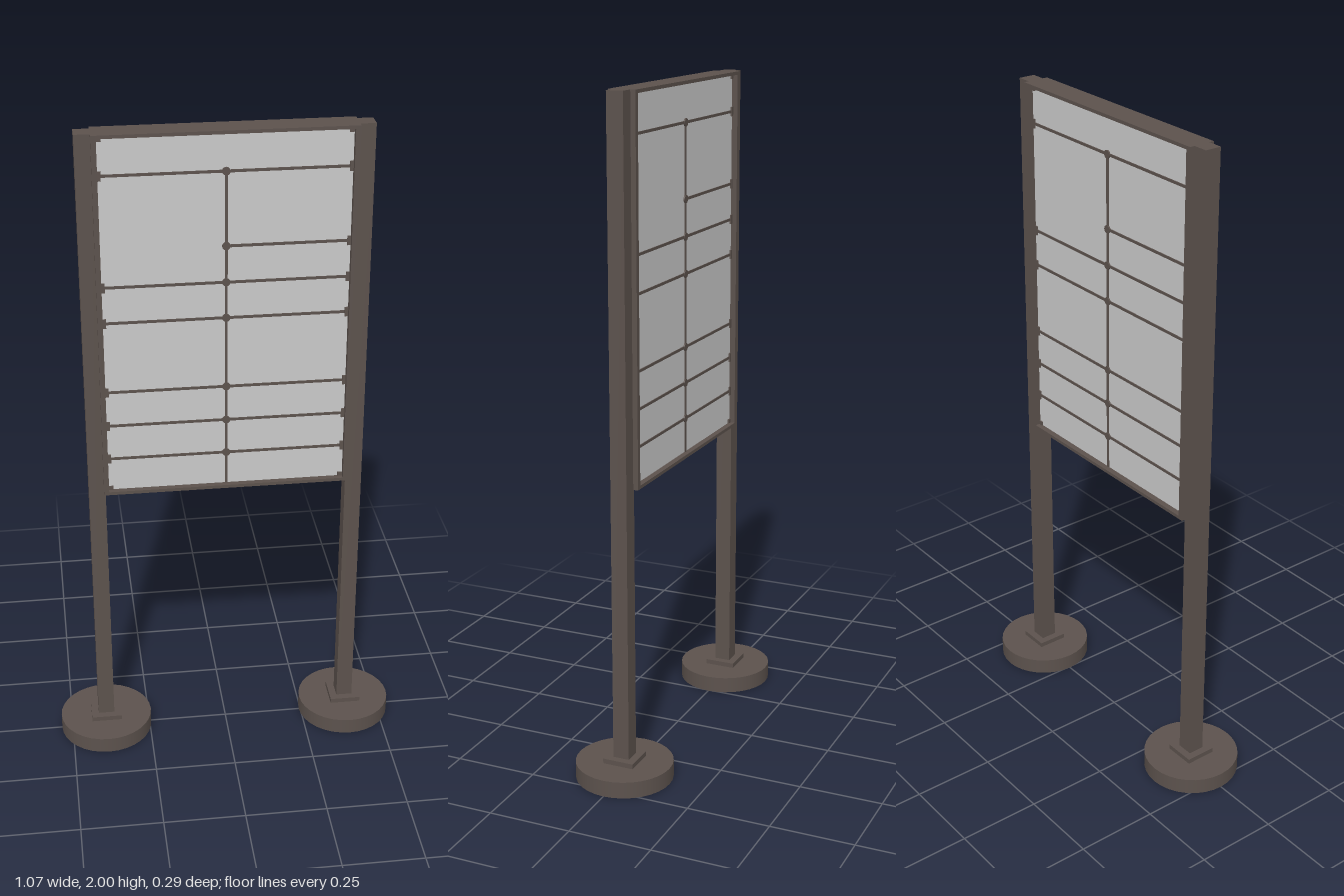
import * as THREE from 'three';

const bronze = new THREE.MeshStandardMaterial({ color: 0x5c524d });
bronze.name = 'dark bronze metal';
const grey = new THREE.MeshStandardMaterial({ color: 0xcacaca });
grey.name = 'light grey panel';

function add(parent, name, geometry, material, x = 0, y = 0, z = 0) {
  const mesh = new THREE.Mesh(geometry, material);
  mesh.name = name;
  mesh.position.set(x, y, z);
  parent.add(mesh);
  return mesh;
}

const box = (w, h, d) => new THREE.BoxGeometry(w, h, d);

// Round foot with a square socket open underneath, flange and post
function createLeg(side) {
  const leg = new THREE.Group();
  leg.name = side > 0 ? 'leftLeg' : 'rightLeg';
  leg.position.x = side * 0.39;

  const R = 0.145, S = 0.045;
  const ring = new THREE.Shape();
  ring.absarc(0, 0, R - 0.001, 0, Math.PI * 2);
  const socket = new THREE.Path();
  socket.moveTo(-S, -S);
  socket.lineTo(-S, S);
  socket.lineTo(S, S);
  socket.lineTo(S, -S);
  socket.closePath();
  ring.holes.push(socket);
  const core = new THREE.ExtrudeGeometry(ring, { depth: 0.046, bevelEnabled: false, curveSegments: 32 });
  core.rotateX(-Math.PI / 2);
  add(leg, 'footCore', core, grey);
  add(leg, 'footRim', new THREE.CylinderGeometry(R, R, 0.05, 32, 1, true), bronze, 0, 0.025);
  add(leg, 'footTop', new THREE.CylinderGeometry(R, R, 0.004, 32), bronze, 0, 0.048);
  add(leg, 'socketCeiling', box(2 * S, 0.002, 2 * S), grey, 0, 0.045);

  add(leg, 'flange', box(0.095, 0.016, 0.095), bronze, 0, 0.057);
  add(leg, 'post', box(0.05, 1.95, 0.05), bronze, 0, 1.025);
  return leg;
}

// Seams, hubs and clips for one face of the board
function createFace() {
  const face = new THREE.Group();
  face.name = 'panelFittings';
  const z = 0.0235;
  const rows = [1.88, 1.66, 1.55, 1.44, 1.22, 1.11, 1.0];
  for (const y of rows) {
    for (const s of [-1, 1]) {
      if (y === 1.66 && s < 0) continue; // left-hand cell spans two rows
      add(face, 'horizontalSeam', box(0.355, 0.008, 0.003), bronze, s * 0.1775, y, z);
      add(face, 'edgeClip', box(0.01, 0.028, 0.006), bronze, s * 0.35, y, z);
    }
    const hub = new THREE.CylinderGeometry(0.012, 0.012, 0.006, 12);
    hub.rotateX(Math.PI / 2);
    add(face, 'hub', hub, bronze, 0, y, z);
  }
  add(face, 'verticalSeam', box(0.008, 0.985, 0.003), bronze, 0, 1.3875, z);
  for (const s of [-1, 1]) {
    for (const y of [0.9, 1.985]) {
      add(face, 'cornerClip', box(0.014, 0.014, 0.006), bronze, s * 0.348, y, z);
    }
  }
  return face;
}

export function createModel() {
  const model = new THREE.Group();
  model.name = 'freestandingBoard';

  // Legs and side rails
  for (const s of [-1, 1]) {
    model.add(createLeg(s));
    add(model, 'sideRail', box(0.015, 1.115, 0.08), bronze, s * 0.3625, 1.4425);
  }

  // Top and bottom rails
  add(model, 'topRail', box(0.71, 0.01, 0.08), bronze, 0, 1.995);
  add(model, 'bottomRail', box(0.71, 0.01, 0.08), bronze, 0, 0.89);

  // Recessed panel with matching faces, turned about the upright axis
  add(model, 'panel', box(0.71, 1.095, 0.044), grey, 0, 1.4425);
  const front = createFace();
  const back = createFace();
  back.rotation.y = Math.PI;
  model.add(front, back);
  return model;
}
